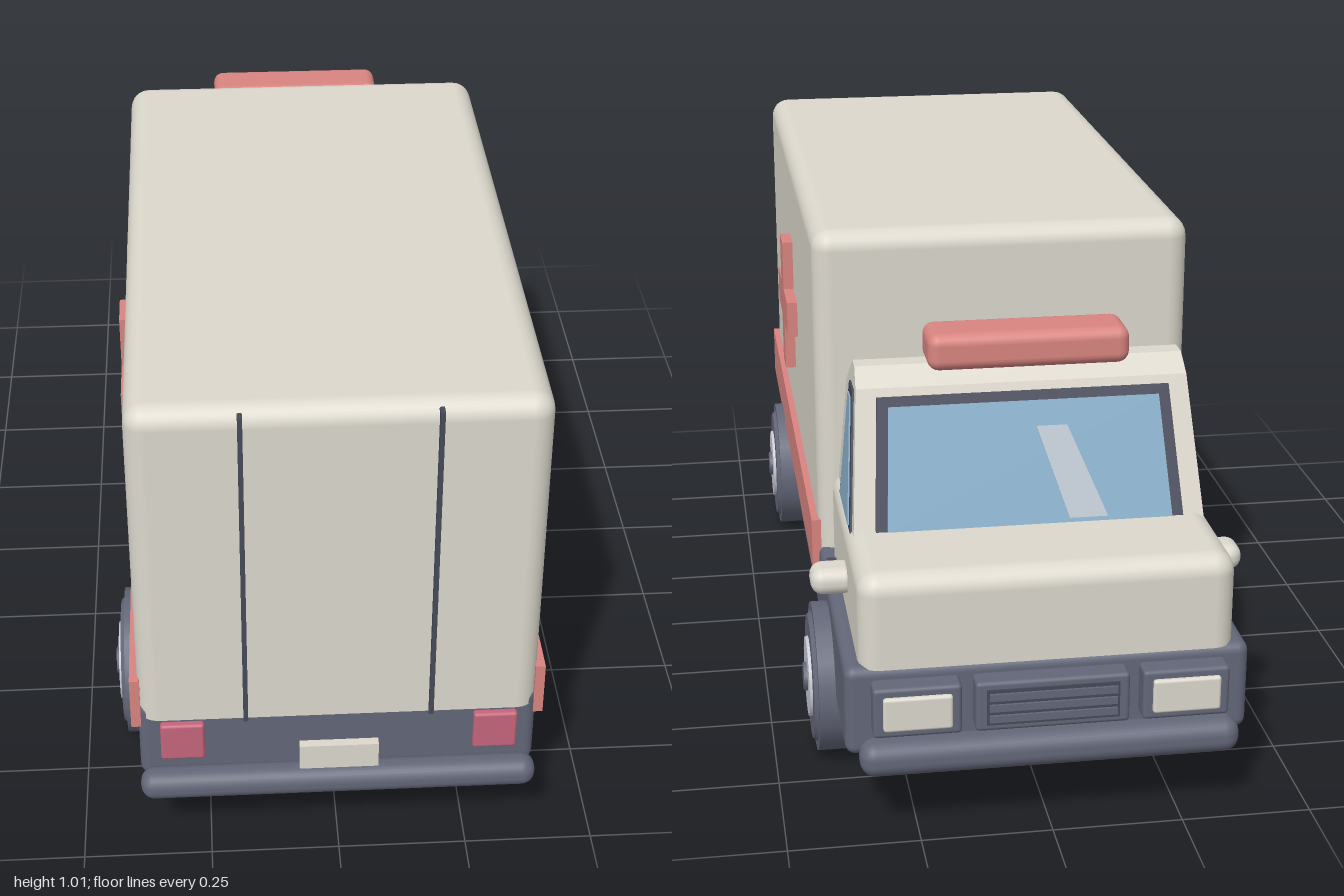
import * as THREE from 'three';
import { RoundedBoxGeometry } from 'three/addons/geometries/RoundedBoxGeometry.js';

const mat = (name, color) => {
  const m = new THREE.MeshStandardMaterial({ color });
  m.name = name;
  return m;
};

export function createModel() {
  const cream = mat('cream paint', 0xdcd8cd);
  const slate = mat('slate grey', 0x636778);
  const seam = mat('dark seam', 0x464a59);
  const red = mat('soft red', 0xd98580);
  const lamp = mat('tail lamp red', 0xc5657c);
  const glass = mat('window blue', 0x86adc8);
  const steel = mat('wheel steel', 0xc6c9d2);
  const glare = mat('window glare', 0xbcc6cf);

  const model = new THREE.Group();
  model.name = 'ambulance';

  const add = (name, geo, material, parent = model) => {
    const mesh = new THREE.Mesh(geo, material);
    mesh.name = name;
    parent.add(mesh);
    return mesh;
  };
  // Box given by its limits on each axis; r rounds the edges
  const box = (name, x, y, z, material, r = 0, parent = model) => {
    const size = [x, y, z].map(([a, b]) => b - a);
    const geo = r ? new RoundedBoxGeometry(...size, 3, r) : new THREE.BoxGeometry(...size);
    geo.translate(...[x, y, z].map(([a, b]) => (a + b) / 2));
    return add(name, geo, material, parent);
  };
  // Rounded on top and sides, cut flat at the bottom
  const flatBottomBox = (name, x, y, z, material, r) => {
    const mesh = box(name, x, [y[0] - r, y[1]], z, material, r);
    const p = mesh.geometry.attributes.position;
    for (let i = 0; i < p.count; i++) p.setY(i, Math.max(p.getY(i), y[0]));
    return mesh;
  };
  const extrude = (points, depth) => new THREE.ExtrudeGeometry(
    new THREE.Shape(points.map(([a, b]) => new THREE.Vector2(a, b))),
    { depth, bevelEnabled: false });

  // Main bodies
  box('chassis', [-0.383, 0.383], [0.155, 0.335], [-0.945, 0.946], slate, 0.02);
  flatBottomBox('cargoBody', [-0.383, 0.383], [0.305, 1.01], [-0.386, 0.954], cream, 0.04);
  flatBottomBox('hood', [-0.355, 0.355], [0.33, 0.515], [-0.945, -0.38], cream, 0.04);
  box('rearBumper', [-0.383, 0.383], [0.133, 0.192], [0.94, 1.0], slate, 0.027);
  box('frontBumper', [-0.36, 0.36], [0.13, 0.198], [-1.0, -0.93], slate, 0.03);
  box('lightBar', [-0.193, 0.193], [0.82, 0.892], [-0.71, -0.597], red, 0.022);

  // Cabin narrows toward the roof; profiles use (-z, y)
  const halfWidth = y => 0.342 - (y - 0.5) * 0.07;
  const cabin = extrude([[0.405, 0.45], [0.753, 0.45], [0.733, 0.5], [0.627, 0.767],
    [0.587, 0.8], [0.547, 0.8], [0.456, 0.73], [0.41, 0.5]], 2);
  cabin.translate(0, 0, -1).rotateY(Math.PI / 2);
  const cp = cabin.attributes.position;
  for (let i = 0; i < cp.count; i++) cp.setX(i, cp.getX(i) * halfWidth(cp.getY(i)));
  cabin.computeVertexNormals();
  add('cabin', cabin, cream);

  // Plate lying on the sloping right cabin wall
  const wallPlate = (name, points, lift, material, parent) => {
    const geo = extrude(points, 0.008);
    geo.rotateY(Math.PI / 2);
    const p = geo.attributes.position;
    for (let i = 0; i < p.count; i++) p.setX(i, p.getX(i) + halfWidth(p.getY(i)) + lift);
    geo.computeVertexNormals();
    add(name, geo, material, parent);
  };

  // Windscreen plates in a frame that follows the sloping cabin front
  const windscreen = new THREE.Group();
  windscreen.name = 'windscreen';
  const up = new THREE.Vector3(0, 0.267, 0.106).normalize();
  const across = new THREE.Vector3(-1, 0, 0);
  windscreen.setRotationFromMatrix(new THREE.Matrix4().makeBasis(across, up, across.clone().cross(up)));
  windscreen.position.set(0, 0.5, -0.733);
  model.add(windscreen);
  const screenPlate = (name, points, lift, material) =>
    add(name, extrude(points, 0.008), material, windscreen).position.z = lift;
  screenPlate('windscreenFrame', [[-0.3, 0], [0.3, 0], [0.285, 0.27], [-0.285, 0.27]], 0, seam);
  screenPlate('windscreenGlass', [[-0.277, 0.012], [0.277, 0.012], [0.264, 0.25], [-0.264, 0.25]], 0.003, glass);
  screenPlate('windscreenGlare', [[0.075, 0.02], [0.15, 0.02], [0.08, 0.2], [0.02, 0.2]], 0.005, glare);

  // Wheel, axis along x
  const wheel = (z, parent) => {
    const g = new THREE.Group();
    g.name = 'wheel';
    g.position.set(0, 0.15, z);
    parent.add(g);
    const disc = (name, x0, x1, r0, r1, sides, material) => {
      const geo = new THREE.CylinderGeometry(r1, r0, x1 - x0, sides);
      geo.rotateZ(-Math.PI / 2).translate((x0 + x1) / 2, 0, 0);
      add(name, geo, material, g);
    };
    disc('tyre', 0.338, 0.416, 0.15, 0.15, 20, slate);
    disc('tyreWall', 0.416, 0.424, 0.132, 0.125, 20, slate);
    disc('rim', 0.42, 0.43, 0.083, 0.08, 20, steel);
    disc('wheelCap', 0.425, 0.437, 0.03, 0.028, 12, slate);
  };

  // Parts found on both sides
  for (const s of [1, -1]) {
    const side = new THREE.Group();
    side.name = s > 0 ? 'leftSide' : 'rightSide';
    side.scale.x = s;
    model.add(side);

    wheel(0.588, side);
    wheel(-0.594, side);
    box('sideStripe', [0.378, 0.397], [0.28, 0.393], [-0.37, 0.94], red, 0, side);

    // Cross emblem
    const a = 0.04, b = 0.15;
    const cross = extrude([[a, a], [a, b], [-a, b], [-a, a], [-b, a], [-b, -a],
      [-a, -a], [-a, -b], [a, -b], [a, -a], [b, -a], [b, a]], 0.026);
    cross.rotateY(Math.PI / 2).translate(0.38, 0.67, 0.285);
    add('sideCross', cross, red, side);

    wallPlate('sideWindowFrame', [[0.478, 0.5], [0.7, 0.5], [0.602, 0.757], [0.542, 0.757]], -0.004, seam, side);
    wallPlate('sideWindowGlass', [[0.508, 0.508], [0.674, 0.508], [0.588, 0.738], [0.552, 0.738]], -0.001, glass, side);
    box('mirror', [0.335, 0.425], [0.383, 0.437], [-0.732, -0.656], cream, 0.025, side);
    box('doorHandle', [0.345, 0.375], [0.325, 0.348], [-0.54, -0.463], seam, 0, side);

    // Rear and front lamps
    box('doorSeam', [0.173, 0.182], [0.305, 1.0], [0.945, 0.964], seam, 0, side);
    box('tailLight', [0.257, 0.341], [0.234, 0.318], [0.968, 0.986], lamp, 0.006, side);
    box('headlightFrame', [0.17, 0.335], [0.212, 0.312], [-0.988, -0.94], slate, 0.008, side);
    box('headlight', [0.188, 0.317], [0.228, 0.296], [-0.997, -0.98], cream, 0.006, side);
  }

  // Number plate and grille
  box('numberPlate', [-0.076, 0.076], [0.198, 0.254], [0.968, 0.986], cream);
  box('grilleFrame', [-0.145, 0.145], [0.212, 0.312], [-0.988, -0.94], slate, 0.008);
  box('grilleOpening', [-0.125, 0.125], [0.226, 0.298], [-0.991, -0.985], seam);
  for (const y of [0.24, 0.262, 0.284])
    box('grilleSlat', [-0.12, 0.12], [y - 0.007, y + 0.007], [-0.996, -0.988], slate);

  return model;
}
